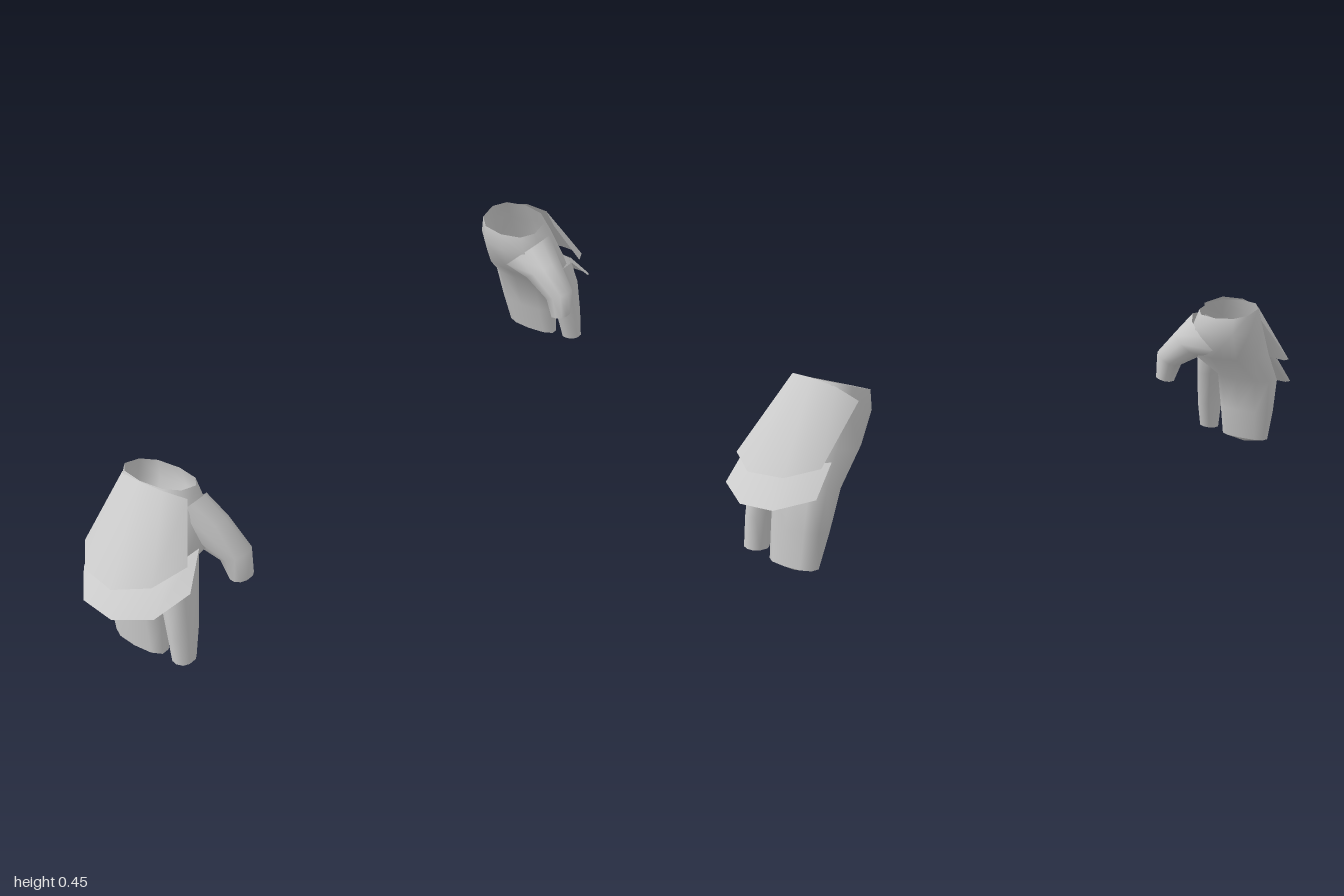
import * as THREE from 'three';

const SIDES = 10;
const material = new THREE.MeshStandardMaterial({ color: 0xcccccc, side: THREE.DoubleSide });

// One rounded-square cross-section; sx and sz tilt it along x and z
function ring([cx, cy, cz, rx, rz, sx = 0, sz = 0]) {
  const round = (v) => Math.sign(v) * Math.abs(v) ** 0.85;
  return Array.from({ length: SIDES }, (_, i) => {
    const a = (i / SIDES) * Math.PI * 2;
    const dx = rx * round(Math.cos(a)), dz = rz * round(Math.sin(a));
    return [cx + dx, cy + sx * dx + sz * dz, cz + dz];
  });
}

// Smooth skin through rows of points, optionally wrapped around
function skin(name, rows, closed) {
  const n = rows[0].length, index = [];
  for (let r = 0; r < rows.length - 1; r++) {
    for (let j = 0; j < (closed ? n : n - 1); j++) {
      const k = (j + 1) % n;
      const a = r * n + j, b = r * n + k, c = a + n, d = b + n;
      index.push(a, b, c, b, d, c);
    }
  }
  return mesh(name, rows.flat(), index);
}

function mesh(name, points, index) {
  const geometry = new THREE.BufferGeometry();
  geometry.setAttribute('position', new THREE.Float32BufferAttribute(points.flat(), 3));
  geometry.setIndex(index);
  geometry.computeVertexNormals();
  const result = new THREE.Mesh(geometry, material);
  result.name = name;
  return result;
}

// Tube of sections, open at the top and closed by a shallow tip
function digit(name, sections, drop) {
  const group = new THREE.Group();
  group.name = name;
  const rows = sections.map(ring);
  const end = rows[rows.length - 1], [x, y, z] = sections[sections.length - 1];
  const fan = end.flatMap((_, j) => [SIDES, j, (j + 1) % SIDES]);
  group.add(skin(name + 'Skin', rows, true));
  group.add(mesh(name + 'Tip', [...end, [x, y - drop, z]], fan));
  return group;
}

function createHand(name) {
  const hand = new THREE.Group();
  hand.name = name;

  // Open wrist and palm running into the three joined fingers
  hand.add(digit('palmAndFingers', [
    [0.755, 0.435, -0.06, 0.065, 0.092, 0.3],
    [0.765, 0.385, -0.05, 0.08, 0.108, 0.2],
    [0.80, 0.30, -0.035, 0.087, 0.122, 0.1],
    [0.85, 0.22, -0.065, 0.055, 0.097],
    [0.865, 0.12, -0.055, 0.043, 0.088],
    [0.877, 0.03, -0.043, 0.028, 0.078],
  ], 0.015));

  hand.add(digit('indexFinger', [
    [0.825, 0.30, 0.035, 0.055, 0.055],
    [0.85, 0.22, 0.066, 0.05, 0.037],
    [0.865, 0.12, 0.083, 0.04, 0.031],
    [0.877, 0.043, 0.092, 0.028, 0.027, 0, 0.1],
  ], 0.004));

  hand.add(digit('thumb', [
    [0.752, 0.355, -0.005, 0.058, 0.06, 0, 1],
    [0.735, 0.325, 0.06, 0.05, 0.042, 0, 0.8],
    [0.719, 0.27, 0.128, 0.036, 0.036, 0, 0.5],
    [0.716, 0.207, 0.14, 0.028, 0.026, 0, 0.25],
  ], 0.004));

  // Flared plates over the back of the hand
  hand.add(skin('upperPlate', [
    [[0.775, 0.41, -0.163], [0.81, 0.443, -0.125], [0.825, 0.457, -0.06],
      [0.82, 0.457, 0.01], [0.79, 0.437, 0.055]],
    [[0.90, 0.28, -0.177], [0.96, 0.261, -0.12], [0.98, 0.262, -0.02],
      [0.94, 0.285, 0.07], [0.86, 0.312, 0.108]],
  ], false));
  hand.add(skin('lowerPlate', [
    [[0.86, 0.285, -0.165], [0.90, 0.28, -0.11], [0.91, 0.28, -0.01],
      [0.875, 0.30, 0.07], [0.81, 0.33, 0.10]],
    [[0.915, 0.212, -0.175], [0.985, 0.19, -0.11], [0.997, 0.19, -0.01],
      [0.96, 0.215, 0.088], [0.88, 0.258, 0.13]],
  ], false));
  return hand;
}

export function createModel() {
  const model = new THREE.Group();
  model.name = 'gauntletPair';
  const left = createHand('leftHand');
  // The right hand is mirrored, sitting slightly lower and further forward
  const right = createHand('rightHand');
  right.scale.x = -1;
  right.position.set(-0.003, -0.013, 0.014);
  model.add(left, right);
  return model;
}
